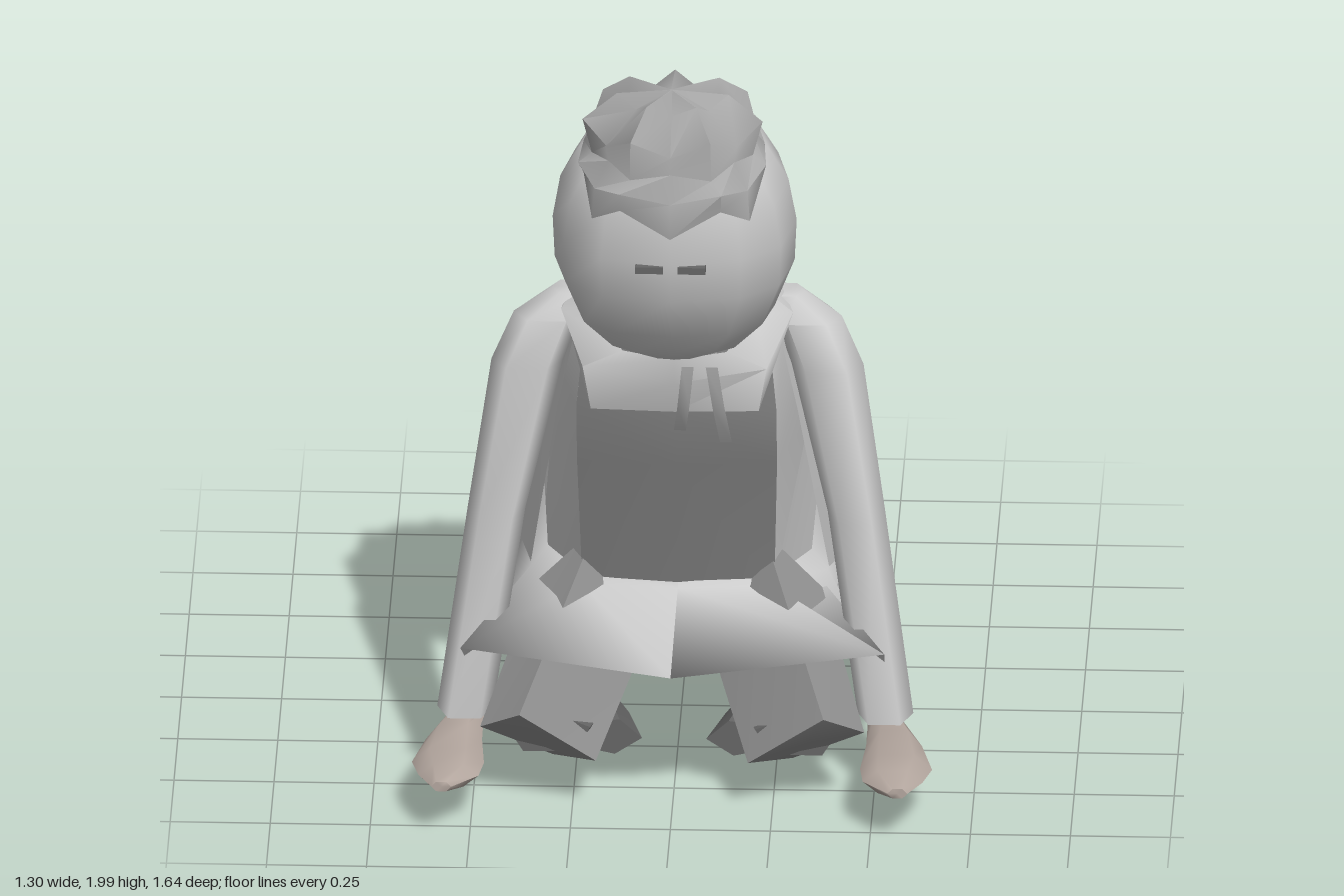
import * as THREE from 'three';
import { toCreasedNormals, mergeVertices } from 'three/addons/utils/BufferGeometryUtils.js';

const paint = (color, side = THREE.FrontSide) => new THREE.MeshStandardMaterial({ color, side });
const grey = paint(0xcccccc);
const cloth = paint(0xcccccc, THREE.DoubleSide);
const shirt = paint(0x858585, THREE.DoubleSide);
const hairGrey = paint(0xa8a8a8);
const trousers = paint(0x8c8c8c);
const boots = paint(0x666666);
const skin = paint(0xb5a8a0);

// Turns a list of corner triples into a mesh with softened or sharp edges
function meshFrom(name, tris, material, crease) {
  let g = new THREE.BufferGeometry();
  g.setAttribute('position', new THREE.Float32BufferAttribute(tris.flat(), 3));
  g = toCreasedNormals(mergeVertices(g, 1e-4), crease);
  const m = new THREE.Mesh(g, material);
  m.name = name;
  return m;
}

// Skins cross-sections; rings run counter-clockwise seen from the end of the path
function loft(name, rings, { material = grey, crease = 0.7, side = 1, caps = true } = {}) {
  if (side < 0) rings = rings.map(flip);
  const n = rings[0].length, t = [];
  for (let r = 0; r + 1 < rings.length; r++)
    for (let i = 0; i < n; i++) {
      const j = (i + 1) % n, a = rings[r][i], b = rings[r][j], c = rings[r + 1][j], d = rings[r + 1][i];
      t.push(a, b, c, a, c, d);
    }
  const mid = r => [0, 1, 2].map(k => r.reduce((s, p) => s + p[k], 0) / n);
  if (caps) {
    const lo = rings[0], hi = rings.at(-1), ml = mid(lo), mh = mid(hi);
    for (let i = 0; i < n; i++) {
      const j = (i + 1) % n;
      t.push(ml, lo[j], lo[i], mh, hi[i], hi[j]);
    }
  }
  return meshFrom(name, t, material, crease);
}

// Open surface through rows of points, top row first
function grid(name, rows, { material = cloth, crease = 0.5, side = 1 } = {}) {
  if (side < 0) rows = rows.map(flip);
  const t = [];
  for (let r = 0; r + 1 < rows.length; r++)
    for (let i = 0; i + 1 < rows[r].length; i++) {
      const a = rows[r][i], b = rows[r + 1][i], c = rows[r + 1][i + 1], d = rows[r][i + 1];
      t.push(a, b, c, a, c, d);
    }
  return meshFrom(name, t, material, crease);
}

const flip = pts => pts.map(([x, y, z]) => [-x, y, z]).reverse();

// Level ring; a power below 1 squares off its corners
function levelRing(n, x, y, z, rx, rz, pow = 1, turn = 0) {
  const f = v => Math.sign(v) * Math.abs(v) ** pow;
  return Array.from({ length: n }, (_, i) => {
    const a = (i / n) * Math.PI * 2 + turn;
    return [x + rx * f(Math.sin(a)), y, z + rz * f(Math.cos(a))];
  });
}

// Upright ring facing +z
function uprightRing(n, x, y, z, rx, ry, turn = 0) {
  return Array.from({ length: n }, (_, i) => {
    const a = (i / n) * Math.PI * 2 + turn;
    return [x + rx * Math.cos(a), y + ry * Math.sin(a), z];
  });
}

// Half outline (front to back) mirrored into a full ring
const mirrorRing = half => [...half, ...flip(half.slice(1, -1))];

export function createModel() {
  const model = new THREE.Group();
  model.name = 'crouchingFigure';

  // Head: y, half width, back z, front z
  const headRows = [
    [1.2, 0.07, 0.43, 0.53], [1.24, 0.17, 0.36, 0.59], [1.32, 0.25, 0.25, 0.66], [1.45, 0.3, 0.19, 0.735],
    [1.56, 0.305, 0.175, 0.752], [1.68, 0.285, 0.21, 0.755], [1.77, 0.235, 0.26, 0.73], [1.82, 0.16, 0.31, 0.62], [1.83, 0.05, 0.38, 0.5],
  ];
  model.add(loft('head', headRows.map(([y, w, b, f]) => levelRing(12, 0, y, (b + f) / 2, w, (f - b) / 2, 0.8)), { crease: 1.2 }));

  // Closed eyes
  for (const s of [-1, 1]) {
    const eye = new THREE.Mesh(new THREE.BoxGeometry(0.07, 0.018, 0.02), boots);
    eye.name = s > 0 ? 'leftEye' : 'rightEye';
    eye.position.set(s * 0.053, 1.545, 0.745);
    model.add(eye);
  }

  // Jagged hair: low at the front, high at the back
  const hairRing = (y, r, cz, tilt, jag, spread, pow = 1) =>
    levelRing(14, 0, y, cz, r, r * 0.92, pow).map(([x, yy, z], i) => {
      const k = Math.cos((i / 14) * Math.PI * 2), odd = i % 2 ? 1 : -1, e = 1 + odd * spread;
      return [x * e, yy - tilt * k + jag * odd, cz + (z - cz) * e];
    });
  model.add(loft('hair', [
    hairRing(1.745, 0.23, 0.56, 0.075, 0.03, -0.02, 0.7), hairRing(1.785, 0.235, 0.565, 0.04, 0.01, 0.02, 0.75),
    hairRing(1.82, 0.2, 0.56, 0.03, -0.01, 0.03, 0.85), hairRing(1.87, 0.22, 0.555, 0, 0.02, 0.05),
    hairRing(1.94, 0.13, 0.56, -0.005, 0.015, 0.1), levelRing(14, 0, 2, 0.66, 0.004, 0.004),
  ], { material: hairGrey, crease: 1 }));

  // Neck
  model.add(loft('neck', [levelRing(8, 0, 1.1, 0.28, 0.13, 0.12), levelRing(8, 0, 1.28, 0.42, 0.12, 0.12)]));

  // Torso: each row lists front middle, front corner, side, back ridge, back middle
  const torsoRows = [
    [0.44, [0, 0.24], [0.24, 0.21], [0.35, -0.05], [0.28, -0.34], [0, -0.35]],
    [0.82, [0, 0.33], [0.25, 0.3], [0.32, 0.05], [0.25, -0.2], [0, -0.24]],
    [0.99, [0, 0.38], [0.25, 0.35], [0.31, 0.1], [0.25, -0.13], [0, -0.16]],
    [1.2, [0, 0.38], [0.23, 0.34], [0.27, 0.2], [0.22, 0.03], [0, 0.01]],
    [1.27, [0, 0.33], [0.19, 0.3], [0.23, 0.22], [0.19, 0.11], [0, 0.09]],
  ].map(([y, ...p]) => mirrorRing(p.map(([x, z]) => [x, y, z])));
  model.add(loft('torso', torsoRows, { crease: 0.6 }));

  // Shirt front between the coat edges
  const shirtRows = torsoRows.slice(0, 4).reverse().map(r => [r.at(-1), r[0], r[1]].map(([x, y, z]) => [x, y, z + 0.008]));
  model.add(grid('shirtFront', shirtRows, { material: shirt }));

  // Half belt across the back
  model.add(grid('backBelt', [
    [[0.35, 0.74, -0.02], [0.265, 0.87, -0.19], [0, 0.88, -0.23], [-0.265, 0.87, -0.19], [-0.35, 0.74, -0.02]],
    [[0.365, 0.65, 0], [0.275, 0.79, -0.23], [0, 0.8, -0.275], [-0.275, 0.79, -0.23], [-0.365, 0.65, 0]],
  ]));

  // Folded collar
  model.add(loft('collar', [
    mirrorRing([[0, 1.02, 0.45], [0.21, 1.03, 0.46], [0.28, 1.2, 0.27], [0.27, 1.24, 0.15], [0.2, 1.27, 0.1], [0, 1.28, 0.08]]),
    mirrorRing([[0, 1.12, 0.5], [0.23, 1.15, 0.47], [0.29, 1.23, 0.3], [0.25, 1.27, 0.19], [0.18, 1.3, 0.15], [0, 1.31, 0.14]]),
    mirrorRing([[0, 1.19, 0.51], [0.13, 1.2, 0.48], [0.2, 1.25, 0.36], [0.19, 1.3, 0.27], [0.12, 1.33, 0.25], [0, 1.33, 0.24]]),
  ], { material: cloth, caps: false, crease: 1.2 }));

  // Two hanging cords: name, top x, bottom x, bottom y
  for (const [name, x0, x1, y1] of [['rightCord', 0.02, -0.005, 0.94], ['leftCord', 0.08, 0.11, 0.91]]) {
    const path = [[x0, 1.18, 0.53], [(x0 + x1) / 2, 1.05, 0.485], [x1, y1, 0.385]];
    model.add(grid(name, path.map(([x, y, z]) => [[x, y, z], [x + 0.03, y, z]])));
  }

  // Coat skirt: front middle round to the split at the back, folded under at the hem
  const skirt = [
    [[0, 0.47, 0.25], [0.24, 0.47, 0.22], [0.33, 0.5, 0.12], [0.345, 0.66, 0], [0.26, 0.82, -0.21], [0, 0.82, -0.255]],
    [[0, 0.45, 0.26], [0.24, 0.45, 0.24], [0.37, 0.45, 0.13], [0.395, 0.46, -0.02], [0.3, 0.46, -0.36], [0, 0.46, -0.37]],
    [[0, 0.42, 0.74], [0.53, 0.44, 0.62], [0.52, 0.25, 0.3], [0.51, 0.01, 0], [0.39, 0.1, -0.79], [0.055, 0.07, -0.82]],
    [[0, 0.42, 0.24], [0.24, 0.42, 0.22], [0.35, 0.42, 0.12], [0.37, 0.43, -0.02], [0.29, 0.42, -0.33], [0, 0.42, -0.34]],
  ];

  for (const s of [1, -1]) {
    const tag = s > 0 ? 'left' : 'right';
    model.add(grid(tag + 'CoatSide', skirt.map(r => r.slice(0, 5)), { side: s, crease: Math.PI }));
    model.add(grid(tag + 'CoatTail', skirt.map(r => r.slice(4)), { side: s, crease: Math.PI }));

    // Loose coat edge below the shoulder
    model.add(grid(tag + 'CoatEdge', [
      [[0.25, 1.2, 0.3], [0.27, 1.23, 0.2]], [[0.3, 0.95, 0.27], [0.33, 0.95, 0.12]], [[0.38, 0.4, 0.1], [0.42, 0.36, -0.07]],
    ], { side: s }));

    // Sleeve: y, x, z, half sizes
    const sleeve = [
      [0.19, 0.525, 0.42, 0.07, 0.085], [0.7, 0.45, 0.335, 0.072, 0.09],
      [1.08, 0.375, 0.275, 0.09, 0.075], [1.2, 0.325, 0.25, 0.085, 0.07], [1.255, 0.27, 0.22, 0.045, 0.045],
    ].map(([y, x, z, rx, rz]) => levelRing(6, x, y, z, rx, rz, 0.8, Math.PI / 6));
    model.add(loft(tag + 'Sleeve', sleeve, { side: s, crease: 1.3 }));

    // Flat hand resting forward
    const hand = [
      [0.52, 0.15, 0.36, 0.04, 0.035], [0.55, 0.135, 0.5, 0.07, 0.05], [0.56, 0.135, 0.64, 0.09, 0.045],
      [0.555, 0.145, 0.74, 0.075, 0.035], [0.57, 0.15, 0.82, 0.025, 0.015],
    ].map(p => uprightRing(6, ...p));
    model.add(loft(tag + 'Hand', hand, { side: s, material: skin, crease: 1.2 }));

    // Bent leg: thigh down to the knee, then shin and foot tucked under
    const thigh = [
      [[0.36, 0.44, 0.22], [0.21, 0.56, 0.15], [0.06, 0.34, 0.2], [0.2, 0.28, 0.15]],
      [[0.48, 0.23, 0.63], [0.38, 0.29, 0.69], [0.19, 0.15, 0.65], [0.3, 0.13, 0.57]],
    ];
    model.add(loft(tag + 'Thigh', thigh, { side: s, material: trousers, crease: 0.4 }));
    const shin = [[0.22, 0.16, 0.16, 0.07, 0.07], [0.26, 0.17, 0.4, 0.1, 0.08], [0.31, 0.2, 0.6, 0.11, 0.06]];
    model.add(loft(tag + 'Shin', shin.map(p => uprightRing(5, ...p, 0.3)), { side: s, material: boots, crease: 0.8 }));
    const foot = [[0.25, 0.12, 0.12, 0.07, 0.07], [0.22, 0.13, 0.3, 0.1, 0.07], [0.17, 0.15, 0.5, 0.09, 0.05]];
    model.add(loft(tag + 'Foot', foot.map(p => uprightRing(5, ...p, 0.7)), { side: s, material: boots, crease: 0.8 }));
  }
  return model;
}
